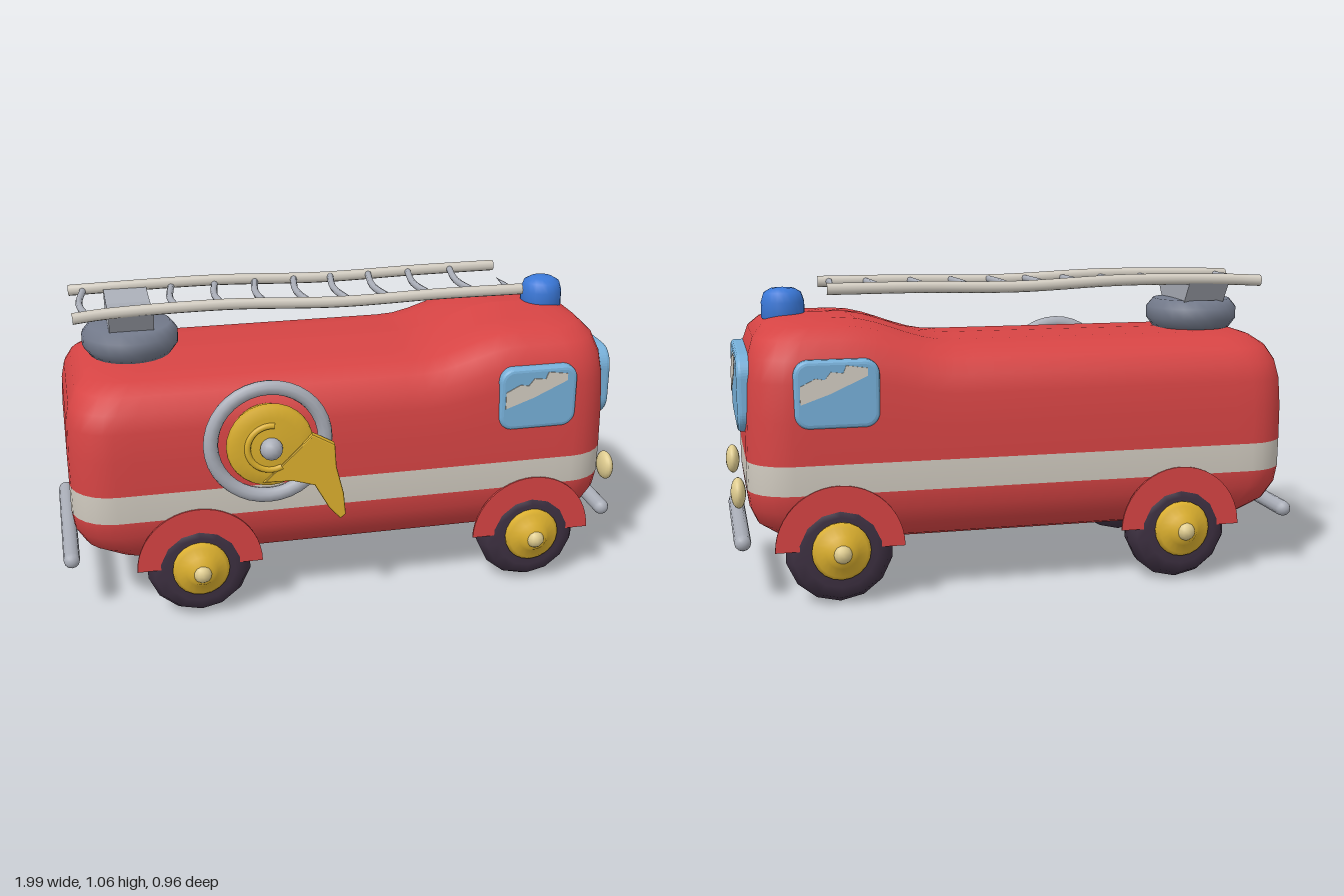
import * as THREE from 'three';

const mat = (name, color) => Object.assign(new THREE.MeshStandardMaterial({ color }), { name });

export function createModel() {
  const red = mat('red paint', 0xd64444), white = mat('off white', 0xd2ccc1);
  const glass = mat('window blue', 0x76afd8), rubber = mat('tyre', 0x3d3041);
  const yellow = mat('yellow', 0xdcb02e), blue = mat('beacon blue', 0x3a78d8);
  const silver = mat('silver', 0xaaaeb8), slate = mat('slate', 0x737a8b);
  const cream = mat('lamp cream', 0xe0cd90);
  const model = new THREE.Group();
  const MID = -0.02; // centre line of the truck in z

  const add = (name, geo, material, x = 0, y = 0, z = 0, parent = model) => {
    const m = new THREE.Mesh(geo, material);
    m.name = name;
    m.position.set(x, y, z);
    parent.add(m);
    return m;
  };
  const group = (name, x, y, z, turn = 0) => {
    const g = new THREE.Group();
    g.name = name;
    g.position.set(x, y, z);
    g.rotation.y = turn;
    model.add(g);
    return g;
  };
  const lathe = (pts, n = 20) => new THREE.LatheGeometry(pts.map(p => new THREE.Vector2(...p)), n);
  const tube = (pts, r, n = 24) => new THREE.TubeGeometry(
    new THREE.CatmullRomCurve3(pts.map(p => new THREE.Vector3(...p))), n, r, 8);
  const polygon = pts => new THREE.Shape(pts.map(p => new THREE.Vector2(...p)));

  // Body: stacked rounded rectangles, with the roof raised over the cab
  function ring(x0, x1, hz, radius) {
    const r = Math.min(radius, hz), pts = [];
    const centres = [[x1 - r, hz - r], [x0 + r, hz - r], [x0 + r, r - hz], [x1 - r, r - hz]];
    const at = (k, a) => [centres[k][0] + r * Math.cos(a), centres[k][1] + r * Math.sin(a)];
    for (let k = 0; k < 4; k++) {
      const a0 = k * Math.PI / 2, n = k % 2 ? 4 : 24;
      for (let i = 0; i <= 6; i++) pts.push(at(k, a0 + i * Math.PI / 12));
      const p = pts[pts.length - 1], q = at((k + 1) % 4, a0 + Math.PI / 2);
      for (let i = 1; i < n; i++) pts.push([p[0] + (q[0] - p[0]) * i / n, p[1] + (q[1] - p[1]) * i / n]);
    }
    return pts;
  }
  // y, rear x, front x, half width
  const layers = [
    [0.19, -0.76, 0.74, 0], [0.19, -0.80, 0.79, 0.24], [0.21, -0.86, 0.85, 0.295],
    [0.26, -0.92, 0.91, 0.345], [0.32, -0.95, 0.935, 0.37], [0.38, -0.957, 0.942, 0.38],
    [0.48, -0.957, 0.942, 0.383], [0.60, -0.957, 0.94, 0.382], [0.70, -0.952, 0.935, 0.375],
    [0.76, -0.94, 0.925, 0.36], [0.81, -0.915, 0.905, 0.325], [0.84, -0.88, 0.87, 0.265],
    [0.855, -0.84, 0.82, 0.17], [0.86, -0.80, 0.78, 0]];
  const pos = [], idx = [];
  let count = 0;
  for (const [y, x0, x1, hz] of layers) {
    const pts = ring(x0, x1, hz, 0.15);
    count = pts.length;
    for (const [x, z] of pts) {
      const roof = 0.86 + 0.085 * THREE.MathUtils.smoothstep(x, 0.25, 0.6);
      pos.push(x, y > 0.48 ? 0.48 + (y - 0.48) * (roof - 0.48) / 0.38 : y, z + MID);
    }
  }
  for (let i = 0; i < layers.length - 1; i++) for (let j = 0; j < count; j++) {
    const a = i * count + j, b = i * count + (j + 1) % count;
    idx.push(a, a + count, b, b, a + count, b + count);
  }
  const bodyGeo = new THREE.BufferGeometry();
  bodyGeo.setAttribute('position', new THREE.Float32BufferAttribute(pos, 3));
  bodyGeo.setIndex(idx);
  bodyGeo.computeVertexNormals();
  const band = count * 6;
  bodyGeo.addGroup(0, band * 5, 0);
  bodyGeo.addGroup(band * 5, band, 1); // stripe
  bodyGeo.addGroup(band * 6, idx.length - band * 6, 0);
  add('body', bodyGeo, [red, white]);

  // Wheels with hubs and arches
  const tyreGeo = lathe([[0, -0.075], [0.10, -0.075], [0.15, -0.06], [0.178, -0.025], [0.182, 0.02],
    [0.16, 0.06], [0.12, 0.075], [0, 0.075]], 14).rotateX(Math.PI / 2);
  const hubGeo = lathe([[0, 0.05], [0.095, 0.06], [0.098, 0.085], [0.085, 0.097], [0.055, 0.105],
    [0.04, 0.125], [0, 0.13]]).rotateX(Math.PI / 2);
  const capGeo = new THREE.SphereGeometry(0.033, 12, 8);
  const archGeo = new THREE.CylinderGeometry(0.215, 0.215, 0.008, 24, 1, false, Math.PI / 2, Math.PI)
    .rotateX(Math.PI / 2);
  for (const side of [1, -1]) for (const x of [-0.54, 0.65]) {
    const g = group('wheel', x, 0.185, MID + side * 0.318, side > 0 ? 0 : Math.PI);
    add('tyre', tyreGeo, rubber, 0, 0, 0, g);
    add('hub', hubGeo, yellow, 0, 0.008, 0, g);
    add('hubCap', capGeo, cream, 0, 0.008, 0.115, g);
    add('wheelArch', archGeo, red, 0, 0.01, 0.064, g);
  }

  // Windows with pale glare plates
  function pane(w, h, r, depth) {
    const b = 0.015, x = w / 2 - b, y = h / 2 - b, s = new THREE.Shape();
    s.absarc(x - r, y - r, r, 0, Math.PI / 2);
    s.absarc(r - x, y - r, r, Math.PI / 2, Math.PI);
    s.absarc(r - x, r - y, r, Math.PI, Math.PI * 1.5);
    s.absarc(x - r, r - y, r, Math.PI * 1.5, Math.PI * 2);
    return new THREE.ExtrudeGeometry(s, { depth: depth - b, bevelSize: b, bevelThickness: b,
      bevelSegments: 3, curveSegments: 6 });
  }
  const plate = pts => new THREE.ExtrudeGeometry(polygon(pts), { depth: 0.003, bevelEnabled: false });
  const sideGlare = plate([[-0.12, -0.03], [-0.02, 0.005], [0.10, 0.06], [0.10, 0.085], [0.03, 0.095],
    [0.02, 0.07], [-0.02, 0.075], [-0.04, 0.05], [-0.07, 0.055], [-0.12, 0.03]]);
  for (const side of [1, -1]) {
    const g = group('sideWindow', 0.65, 0.713, MID + side * 0.35, side > 0 ? 0 : Math.PI);
    add('sideGlass', pane(0.28, 0.225, 0.035, 0.04), glass, 0, 0, 0, g);
    add('sideGlare', sideGlare, white, 0, 0, 0.0545 - 0.0145, g);
  }
  const shield = group('windshield', 0.92, 0.70, -0.018, Math.PI / 2);
  add('frontGlass', pane(0.535, 0.262, 0.06, 0.045), glass, 0, 0, 0, shield);
  add('frontGlare', plate([[-0.25, -0.065], [-0.10, -0.01], [0.06, 0.045], [0.16, 0.095], [0.16, 0.114],
    [0.06, 0.114], [0.0, 0.085], [-0.02, 0.11], [-0.05, 0.08], [-0.10, 0.085], [-0.14, 0.05],
    [-0.20, 0.03], [-0.245, -0.02]]), white, 0, 0, 0.045, shield);

  // Headlights and bumpers
  for (const z of [0.25, -0.29])
    add('headlight', new THREE.SphereGeometry(0.052, 18, 12), cream, 0.972, 0.378, z).scale.x = 0.48;
  for (const x of [-0.97, 0.965])
    add('bumper', new THREE.CapsuleGeometry(0.028, 0.58, 5, 12).rotateX(Math.PI / 2), silver, x, 0.214, -0.027);

  // Beacon
  add('beacon', lathe([[0, -0.065], [0.06, -0.06], [0.074, -0.045], [0.074, 0.01], [0.064, 0.042],
    [0.04, 0.056], [0, 0.06]]), blue, 0.79, 0.972, -0.025);

  // Hose reel on the near side
  const reel = group('hoseReel', -0.3, 0.642, 0.38);
  add('reelRing', new THREE.TorusGeometry(0.193, 0.025, 10, 36), silver, 0, 0, 0, reel);
  add('reelDisc', lathe([[0, -0.04], [0.12, -0.04], [0.146, 0.03], [0.14, 0.045], [0.10, 0.05], [0, 0.055]], 28)
    .rotateX(Math.PI / 2), yellow, 0, 0.003, 0, reel);
  add('hoseCoil', new THREE.TorusGeometry(0.078, 0.011, 8, 24, Math.PI * 1.2), yellow, 0, 0, 0.05, reel)
    .rotation.z = Math.PI * 0.45;
  add('hoseEnd', new THREE.ExtrudeGeometry(polygon([[-0.02, -0.12], [0.07, -0.12], [0.15, -0.145],
    [0.20, -0.235], [0.235, -0.275], [0.247, -0.265], [0.24, -0.19], [0.215, -0.09], [0.21, -0.01],
    [0.14, 0.03]]), { depth: 0.02, bevelSize: 0.006, bevelThickness: 0.006, bevelSegments: 2 }),
  yellow, 0, 0, 0.03, reel);
  add('reelKnob', new THREE.SphereGeometry(0.038, 14, 10), silver, 0, 0, 0.06, reel);

  // Turntable and ladder mount
  add('turntable', lathe([[0, -0.06], [0.14, -0.055], [0.165, -0.02], [0.165, 0.02], [0.14, 0.05], [0, 0.055]], 24),
    slate, -0.71, 0.912, MID);
  const mount = new THREE.ExtrudeGeometry(polygon([[-0.10, -0.08], [0.10, -0.08], [0.165, 0.015],
    [0.15, 0.025], [0, 0.012], [-0.15, 0.025], [-0.165, 0.015]]), { depth: 0.15, bevelEnabled: false });
  add('ladderMount', mount.rotateY(Math.PI / 2), silver, -0.785, 1.015, -0.03);

  // Ladder: slightly bowed rails and rungs
  const ladder = group('ladder', 0, 0, 0);
  const rail = (z, dz) => tube([[-0.905, 1.035, z + dz], [-0.8, 1.04, z], [-0.4, 1.045, z - dz * 0.4],
    [0, 1.03, z], [0.35, 1.035, z], [0.655, 1.035, z + dz * 0.3]], 0.02, 40);
  add('nearRail', rail(0.125, 0.015), white, 0, 0, 0, ladder);
  add('farRail', rail(-0.185, -0.01), white, 0, 0, 0, ladder);
  for (const x of [-0.87, -0.56, -0.405, -0.26, -0.118, 0.018, 0.16, 0.31, 0.47])
    add('rung', tube([[x + 0.015, 1.035, -0.185], [x - 0.005, 1.032, -0.03], [x + 0.015, 1.035, 0.125]], 0.012, 8),
      silver, 0, 0, 0, ladder);
  add('shortRung', new THREE.ConeGeometry(0.014, 0.16, 8).rotateX(-Math.PI / 2), silver, 0.615, 1.035, 0.05, ladder);

  return model;
}
